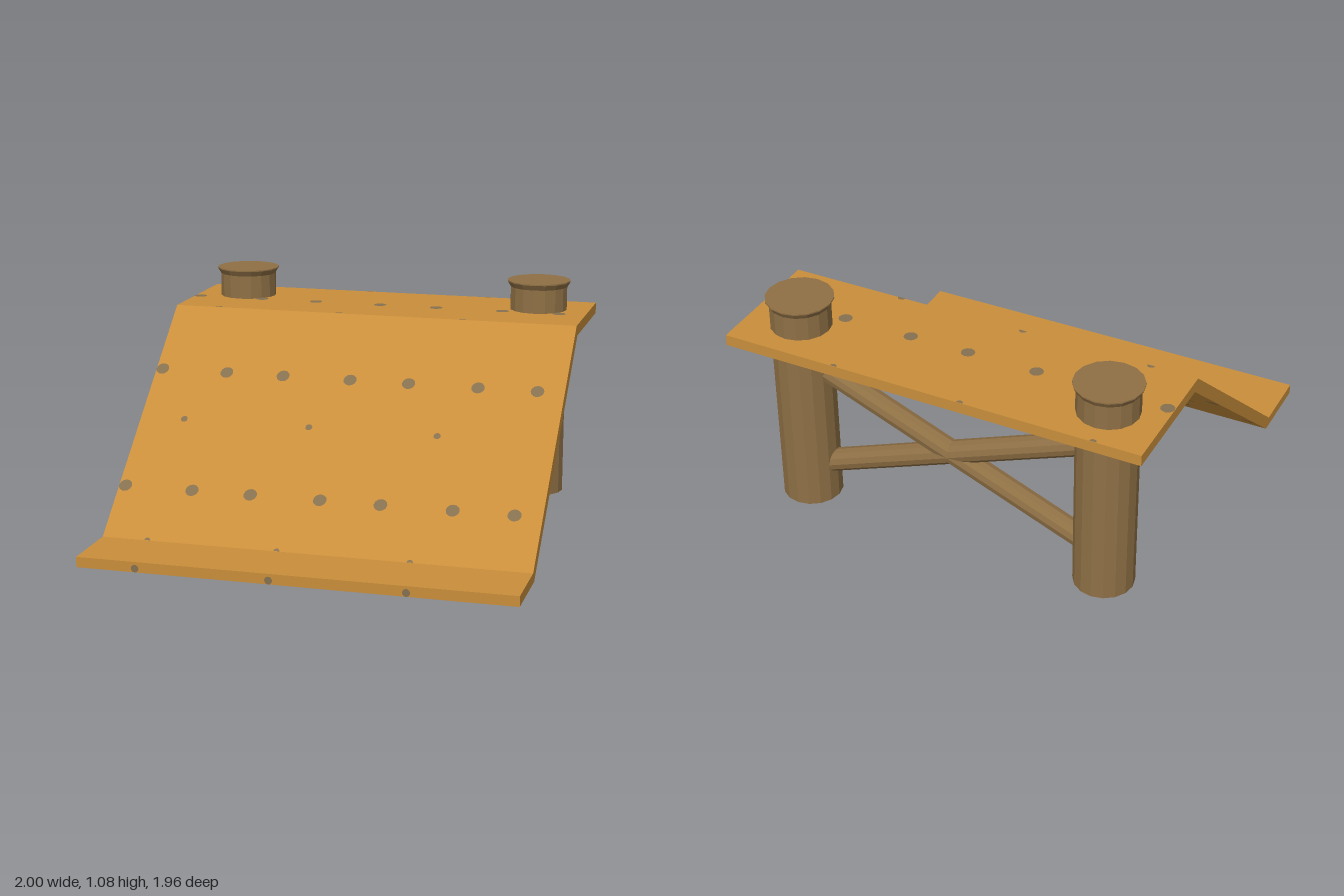
import * as THREE from 'three';

export function createModel() {
  const model = new THREE.Group();
  const plankMat = new THREE.MeshStandardMaterial({ color: 0xc98e3b, flatShading: true });
  plankMat.name = 'ochre board';
  const postMat = new THREE.MeshStandardMaterial({ color: 0x8f7045, flatShading: true, side: THREE.DoubleSide });
  postMat.name = 'brown post';
  const knotMat = new THREE.MeshStandardMaterial({ color: 0x85704f });
  knotMat.name = 'grey knot';

  const add = (name, geometry, material, parent = model) => {
    const mesh = new THREE.Mesh(geometry, material);
    mesh.name = name;
    parent.add(mesh);
    return mesh;
  };

  // Bent board: foot, slope and platform as one side profile (z, y) swept across x
  const profile = [
    [0.98, 0], [0.98, 0.048], [0.67, 0.048], [-0.37, 0.938],
    [-0.98, 0.938], [-0.98, 0.886], [-0.4, 0.886], [0.64, 0],
  ].map(([z, y]) => new THREE.Vector2(z, y));
  const board = new THREE.ExtrudeGeometry(new THREE.Shape(profile), { depth: 2, bevelEnabled: false });
  board.rotateY(-Math.PI / 2).translate(1, 0, 0);
  add('ramp', board, plankMat);

  // Posts with flared tops, hollow and open at the bottom
  const postZ = -0.75;
  const postProfile = [[0.14, 0.02], [0.14, 1.052], [0.155, 1.077], [0.155, 1.083], [0, 1.083]]
    .map(([r, y]) => new THREE.Vector2(r, y));
  for (const side of [-1, 1]) {
    const post = add(side > 0 ? 'leftPost' : 'rightPost', new THREE.LatheGeometry(postProfile, 16), postMat);
    post.position.set(side * 0.75, 0, postZ);
  }

  // Crossed braces between the posts
  for (const side of [-1, 1]) {
    const low = new THREE.Vector3(-side * 0.72, 0.18, postZ);
    const high = new THREE.Vector3(side * 0.72, 0.76, postZ);
    const dir = high.clone().sub(low);
    const brace = add('crossBrace', new THREE.CylinderGeometry(0.054, 0.054, dir.length(), 12), postMat);
    brace.position.copy(low).add(high).multiplyScalar(0.5);
    brace.quaternion.setFromUnitVectors(new THREE.Vector3(0, 1, 0), dir.normalize());
  }

  // Knots: thin discs lying just above a surface tilted back by the given angle
  const knots = new THREE.Group();
  knots.name = 'knots';
  model.add(knots);
  const lift = 0.002;
  const knot = (x, y, z, r, tilt, start = 0, sweep = Math.PI * 2) => {
    const disc = add('knot', new THREE.CircleGeometry(r, 12, start, sweep), knotMat, knots);
    disc.position.set(x, y + Math.sin(tilt) * lift, z + Math.cos(tilt) * lift);
    disc.rotation.x = -tilt;
  };
  const flat = Math.PI / 2;
  const slope = Math.atan2(1.04, 0.89);
  const upperY = (z) => 0.048 + (0.67 - z) * 0.89 / 1.04;
  const lowerY = (z) => (0.64 - z) * 0.886 / 1.04;
  const slopeKnot = (x, z, r) => {
    knot(x, upperY(z), z, r, slope);
    knot(x, lowerY(z), z, r, slope + Math.PI);
  };

  // Large knots in rows
  for (const x of [-0.968, -0.64, -0.357, -0.025, 0.26, 0.593, 0.873]) {
    knot(x, 0.938, -0.63, 0.032, flat);
    slopeKnot(x, -0.068, 0.032);
    slopeKnot(x, 0.452, 0.032);
  }
  // Small knots, halved where they meet a fold or edge
  for (const x of [-0.782, -0.165, 0.45]) {
    slopeKnot(x, 0.15, 0.017);
    knot(x, 0.938, -0.98, 0.016, flat, Math.PI, Math.PI);
    knot(x, 0.938, -0.37, 0.018, flat, 0, Math.PI);
    knot(x, upperY(0.67), 0.67, 0.014, slope, 0, Math.PI);
    knot(x + 0.06, 0.018, 0.98, 0.018, 0);
  }
  return model;
}
